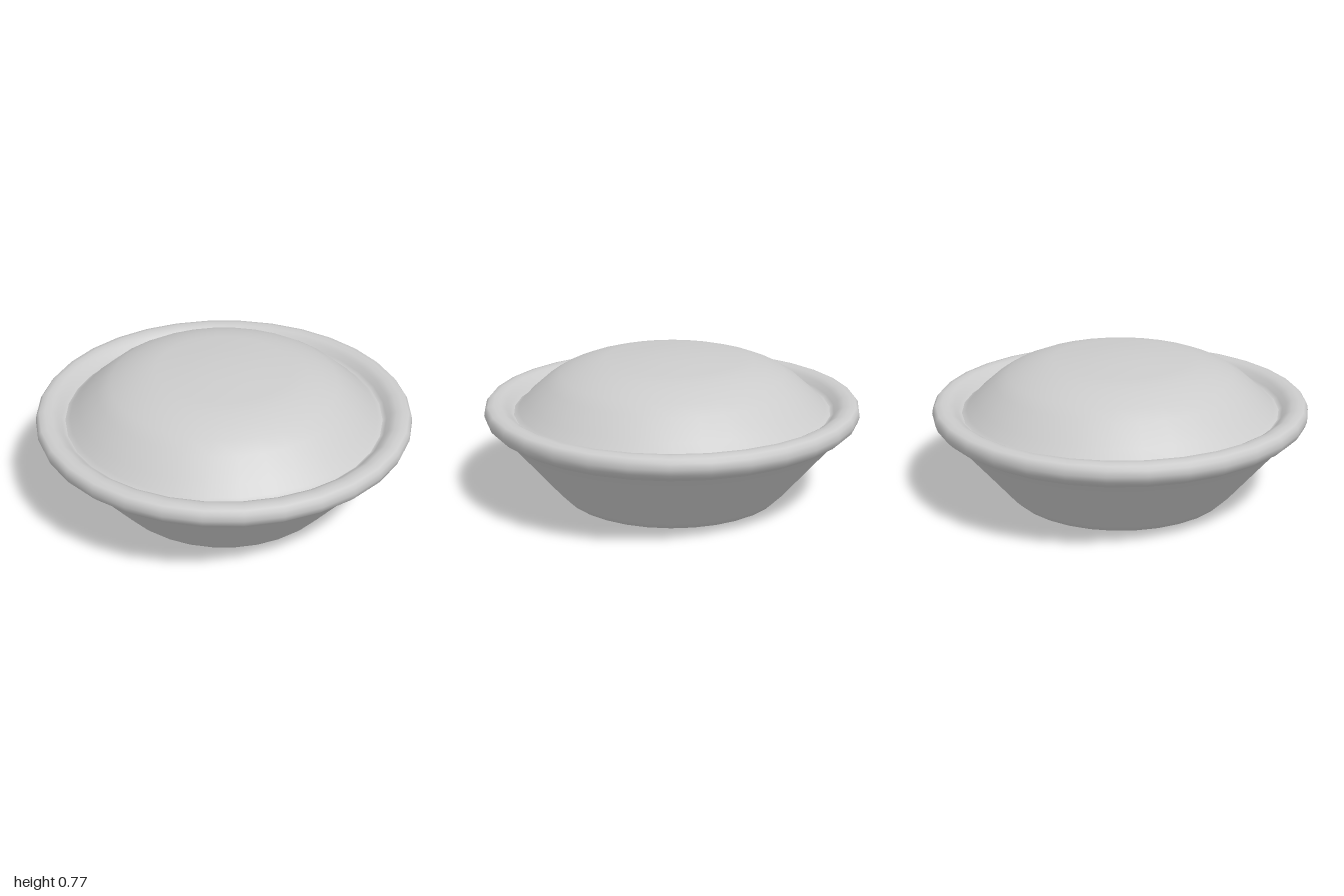
import * as THREE from 'three';

const SIDES = 32;

// Revolve a profile of [radius, height] points around the y axis
function revolve(name, profile) {
  const points = profile.map(([r, y]) => new THREE.Vector2(r, y));
  const material = new THREE.MeshStandardMaterial({ color: 0xcccccc, side: THREE.DoubleSide });
  const mesh = new THREE.Mesh(new THREE.LatheGeometry(points, SIDES), material);
  mesh.name = name;
  return mesh;
}

export function createModel() {
  const model = new THREE.Group();
  model.name = 'pie';

  // Flat-bottomed dish with a rounded foot and flared wall
  model.add(revolve('dish', [
    [0, 0], [0.3, 0], [0.5, 0], [0.55, 0.007], [0.595, 0.025], [0.63, 0.06],
    [0.78, 0.24], [0.915, 0.4], [0.94, 0.42],
  ]));

  // Rounded pastry rim, dipping into a groove on its inner side
  model.add(revolve('crustRim', [
    [0.925, 0.405], [0.965, 0.43], [0.99, 0.455], [1, 0.485], [0.995, 0.515],
    [0.98, 0.533], [0.95, 0.54], [0.915, 0.536], [0.885, 0.52], [0.865, 0.495],
    [0.845, 0.482], [0.825, 0.485],
  ]));

  // Domed lid rising out of the groove
  model.add(revolve('crustLid', [
    [0.845, 0.482], [0.82, 0.495], [0.775, 0.545], [0.67, 0.637], [0.6, 0.68], [0.52, 0.713],
    [0.44, 0.737], [0.36, 0.75], [0.18, 0.765], [0.08, 0.77], [0, 0.77],
  ]));

  return model;
}
